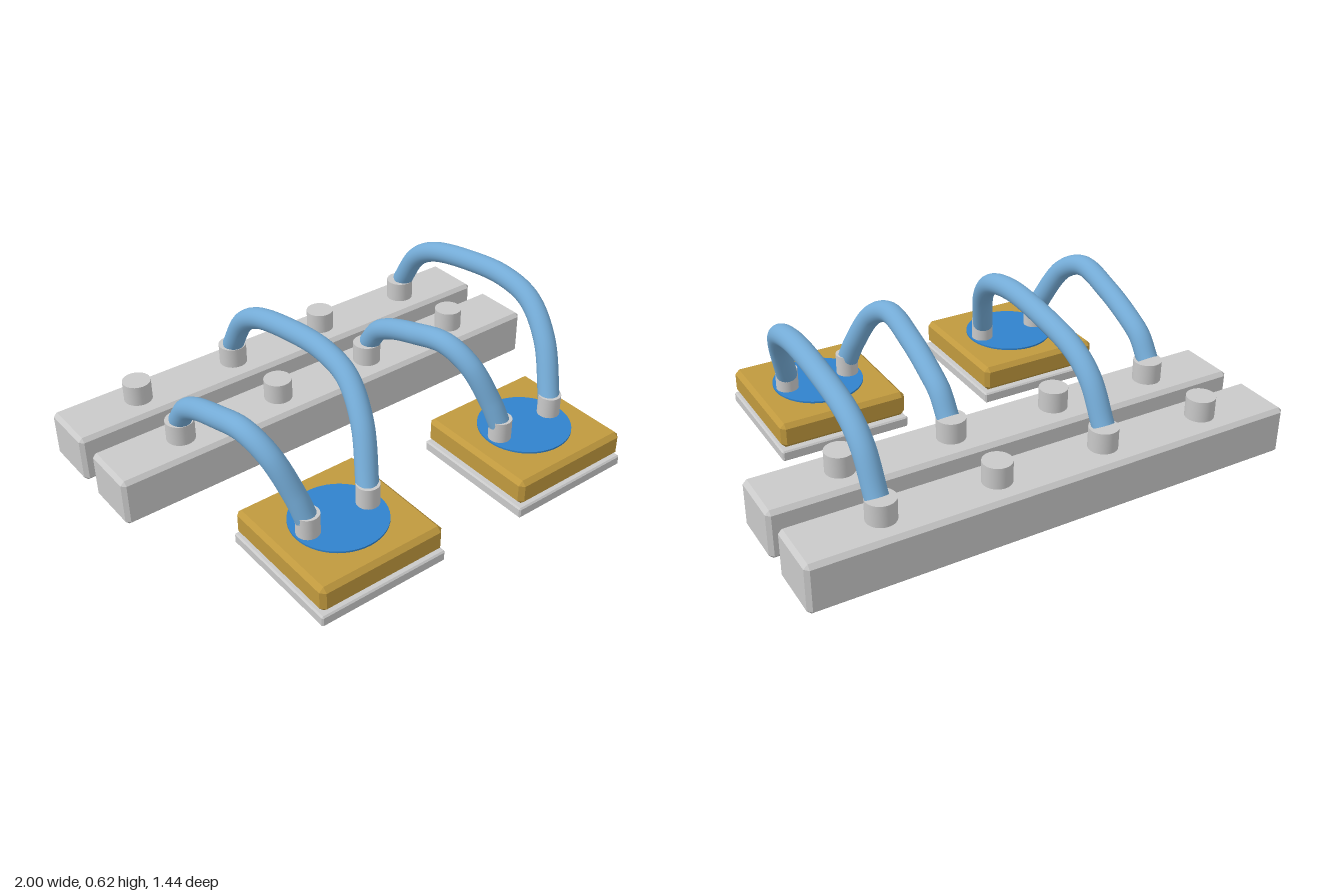
import * as THREE from 'three';
import { ConvexGeometry } from 'three/addons/geometries/ConvexGeometry.js';

const material = (name, color, extra = {}) =>
  Object.assign(new THREE.MeshStandardMaterial({ color, ...extra }), { name });

// Box with 45 degree chamfers on every edge
function chamferBox(w, h, d, c) {
  const pts = [];
  for (const x of [-1, 1]) for (const y of [-1, 1]) for (const z of [-1, 1]) {
    const cut = [[0, c, c], [c, 0, c], [c, c, 0]];
    for (const [a, b, e] of cut)
      pts.push(new THREE.Vector3(x * (w / 2 - a), y * (h / 2 - b), z * (d / 2 - e)));
  }
  return new ConvexGeometry(pts);
}

export function createModel() {
  const grey = material('light grey', 0xc9c9c9);
  const gold = material('gold', 0xc0993e);
  const blue = material('disc blue', 0x3082cc);
  const hoseBlue = material('hose blue', 0x74abd6, { side: THREE.DoubleSide });

  const model = new THREE.Group();
  model.name = 'coolingAssembly';
  const add = (parent, name, geometry, mat, x, y, z) => {
    const mesh = new THREE.Mesh(geometry, mat);
    mesh.name = name;
    mesh.position.set(x, y, z);
    parent.add(mesh);
    return mesh;
  };

  // Two long manifolds, each with four ports
  const barGeo = chamferBox(2, 0.2, 0.247, 0.016);
  const portGeo = new THREE.CylinderGeometry(0.057, 0.057, 0.1, 32);
  const barZ = { front: -0.263, back: -0.597 };
  for (const [side, z] of Object.entries(barZ)) {
    const manifold = new THREE.Group();
    manifold.name = side + 'Manifold';
    model.add(manifold);
    add(manifold, 'bar', barGeo, grey, 0, 0.1, z);
    for (let i = 0; i < 4; i++) add(manifold, 'port', portGeo, grey, -0.68 + i * 0.451, 0.235, z);
  }

  // Hose paths relative to the block centre
  const paths = {
    shortHose: [[-0.135, 0.22, 0.445], [-0.155, 0.31, 0.41], [-0.2, 0.455, 0.33], [-0.226, 0.51, 0.22],
      [-0.228, 0.47, 0.04], [-0.222, 0.41, -0.125], [-0.222, 0.365, -0.2], [-0.222, 0.285, -0.26]],
    longHose: [[0.132, 0.22, 0.445], [0.193, 0.425, 0.335], [0.23, 0.536, 0.2], [0.236, 0.572, 0.05],
      [0.234, 0.556, -0.17], [0.23, 0.505, -0.39], [0.229, 0.432, -0.5], [0.229, 0.285, -0.592]],
  };
  const basePlate = chamferBox(0.545, 0.045, 0.545, 0.006);
  const body = chamferBox(0.535, 0.106, 0.535, 0.018);
  const disc = new THREE.CylinderGeometry(0.185, 0.185, 0.008, 48);
  const fitting = new THREE.CylinderGeometry(0.045, 0.045, 0.1, 32);

  // Two blocks, each joined to both manifolds
  for (const cx of [-0.458, 0.456]) {
    const block = new THREE.Group();
    block.name = 'coolingBlock';
    block.position.x = cx;
    model.add(block);
    add(block, 'basePlate', basePlate, grey, 0, 0.0225, 0.446);
    add(block, 'body', body, gold, 0, 0.104, 0.446);
    add(block, 'topDisc', disc, blue, 0, 0.16, 0.446);
    for (const s of [-1, 1]) add(block, 'fitting', fitting, grey, s * 0.133, 0.2, 0.446);
    for (const [name, pts] of Object.entries(paths)) {
      const curve = new THREE.CatmullRomCurve3(pts.map(p => new THREE.Vector3(...p)));
      add(block, name, new THREE.TubeGeometry(curve, 64, 0.043, 24), hoseBlue, 0, 0, 0);
    }
  }
  return model;
}
